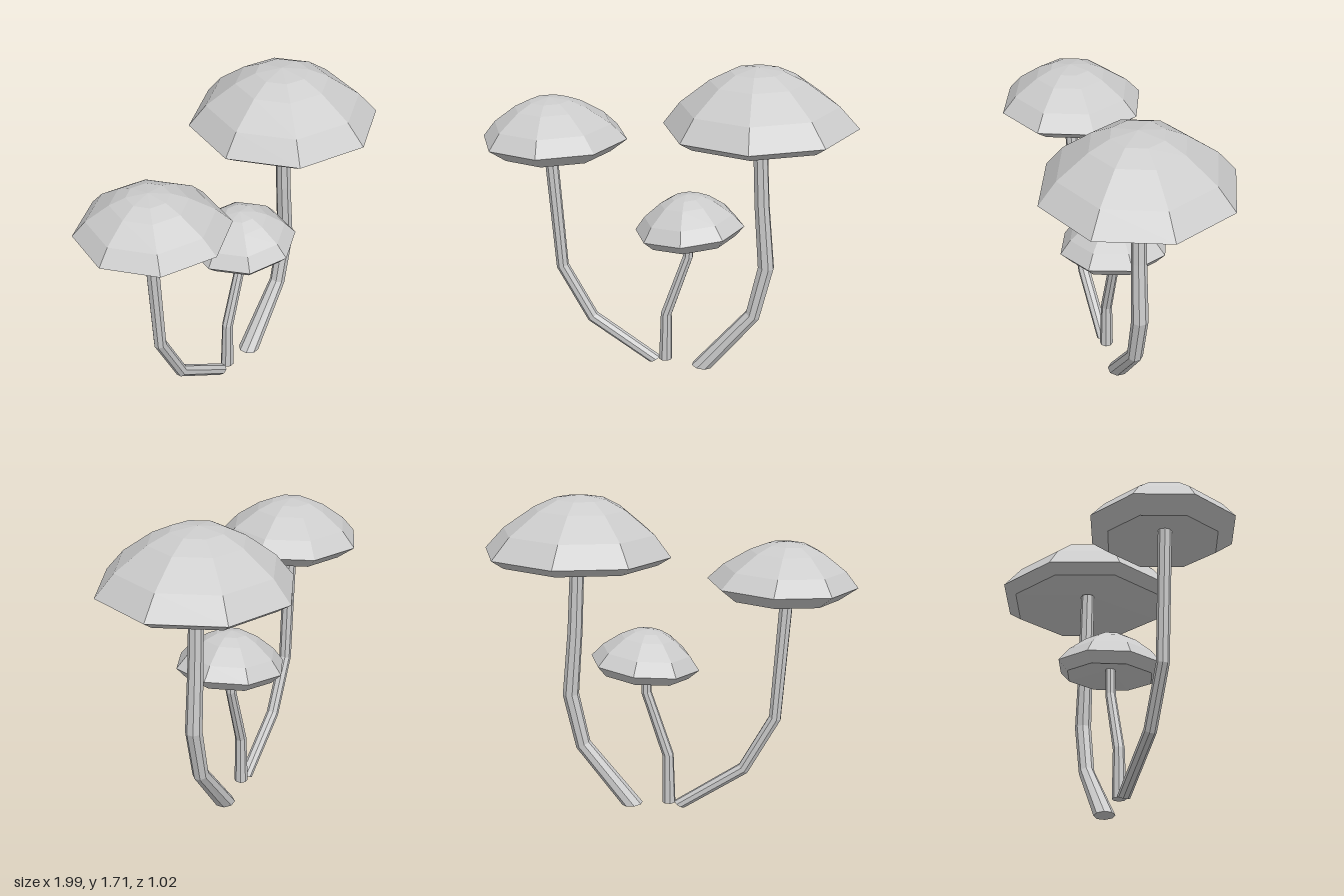
import * as THREE from 'three';

const SIDES = 8;
const material = new THREE.MeshStandardMaterial({ color: 0xcccccc, flatShading: true, side: THREE.DoubleSide });

// Octagonal cap: recessed underside, bevelled lip, faceted dome leaning slightly by `lean`
function makeCap({ x, y, radius, height, lip, lipDepth, tilt, lean }) {
  const profile = [
    [0, 0.15 * radius - lipDepth], [lip * radius, -lipDepth], [radius, 0],
    [0.81 * radius, 0.37 * height], [0.49 * radius, 0.76 * height],
    [0.277 * radius, 0.93 * height], [0, height],
  ].map(([r, h]) => new THREE.Vector2(r, h));
  const geometry = new THREE.LatheGeometry(profile, SIDES);
  const pos = geometry.attributes.position;
  for (let i = 0; i < pos.count; i++) {
    pos.setX(i, pos.getX(i) + lean * Math.max(0, pos.getY(i) / height));
  }
  geometry.computeVertexNormals();
  const cap = new THREE.Mesh(geometry, material);
  cap.name = 'cap';
  cap.position.set(x, y, 0);
  cap.rotation.z = tilt;
  return cap;
}

// Bent stem: octagonal rings at [x, y, radius], mitred at each bend; baseTilt sets the cut of the foot
function makeStem(points, baseTilt) {
  const vertices = [];
  const indices = [];
  const angleOf = (a, b) => Math.atan2(b[1] - a[1], b[0] - a[0]) - Math.PI / 2;
  const last = points.length - 1;
  points.forEach((p, i) => {
    const before = angleOf(points[Math.max(i - 1, 0)], points[Math.max(i, 1)]);
    const after = angleOf(points[Math.min(i, last - 1)], points[Math.min(i + 1, last)]);
    const tilt = i === 0 ? baseTilt : (before + after) / 2;
    for (let k = 0; k < SIDES; k++) {
      const a = ((k + 0.5) / SIDES) * Math.PI * 2;
      const u = Math.cos(a) * p[2];
      vertices.push(p[0] + u * Math.cos(tilt), p[1] + u * Math.sin(tilt), Math.sin(a) * p[2]);
    }
  });
  for (let i = 0; i < last; i++) {
    for (let k = 0; k < SIDES; k++) {
      const a = i * SIDES + k;
      const b = i * SIDES + (k + 1) % SIDES;
      indices.push(a, a + SIDES, b, b, a + SIDES, b + SIDES);
    }
  }
  // Close the foot and the top
  const top = last * SIDES;
  for (let k = 1; k < SIDES - 1; k++) {
    indices.push(0, k, k + 1, top, top + k + 1, top + k);
  }
  const geometry = new THREE.BufferGeometry();
  geometry.setAttribute('position', new THREE.Float32BufferAttribute(vertices, 3));
  geometry.setIndex(indices);
  geometry.computeVertexNormals();
  const stem = new THREE.Mesh(geometry, material);
  stem.name = 'stem';
  return stem;
}

const mushrooms = [
  {
    name: 'largeMushroom',
    cap: { x: 0.485, y: 1.412, radius: 0.508, height: 0.31, lip: 0.86, lipDepth: 0.046, tilt: 0.02, lean: -0.018 },
    stem: [[0.195, 0.012, 0.057], [0.47, 0.34, 0.043], [0.535, 0.625, 0.045], [0.505, 0.98, 0.041], [0.483, 1.43, 0.038]],
    baseTilt: -0.1,
  },
  {
    name: 'mediumMushroom',
    cap: { x: -0.607, y: 1.29, radius: 0.393, height: 0.22, lip: 0.76, lipDepth: 0.07, tilt: 0.03, lean: -0.02 },
    stem: [[-0.07, 0.028, 0.034], [-0.42, 0.26, 0.034], [-0.585, 0.555, 0.034], [-0.637, 1.27, 0.036]],
    baseTilt: 0.55,
  },
  {
    name: 'smallMushroom',
    cap: { x: 0.12, y: 0.824, radius: 0.296, height: 0.19, lip: 0.82, lipDepth: 0.054, tilt: 0.098, lean: 0 },
    stem: [[-0.01, 0.037, 0.037], [-0.006, 0.31, 0.031], [0.113, 0.66, 0.028], [0.115, 0.81, 0.028]],
    baseTilt: 0,
  },
];

export function createModel() {
  const model = new THREE.Group();
  model.name = 'mushroomCluster';
  for (const { name, cap, stem, baseTilt } of mushrooms) {
    const mushroom = new THREE.Group();
    mushroom.name = name;
    mushroom.add(makeCap(cap), makeStem(stem, baseTilt));
    model.add(mushroom);
  }
  return model;
}
